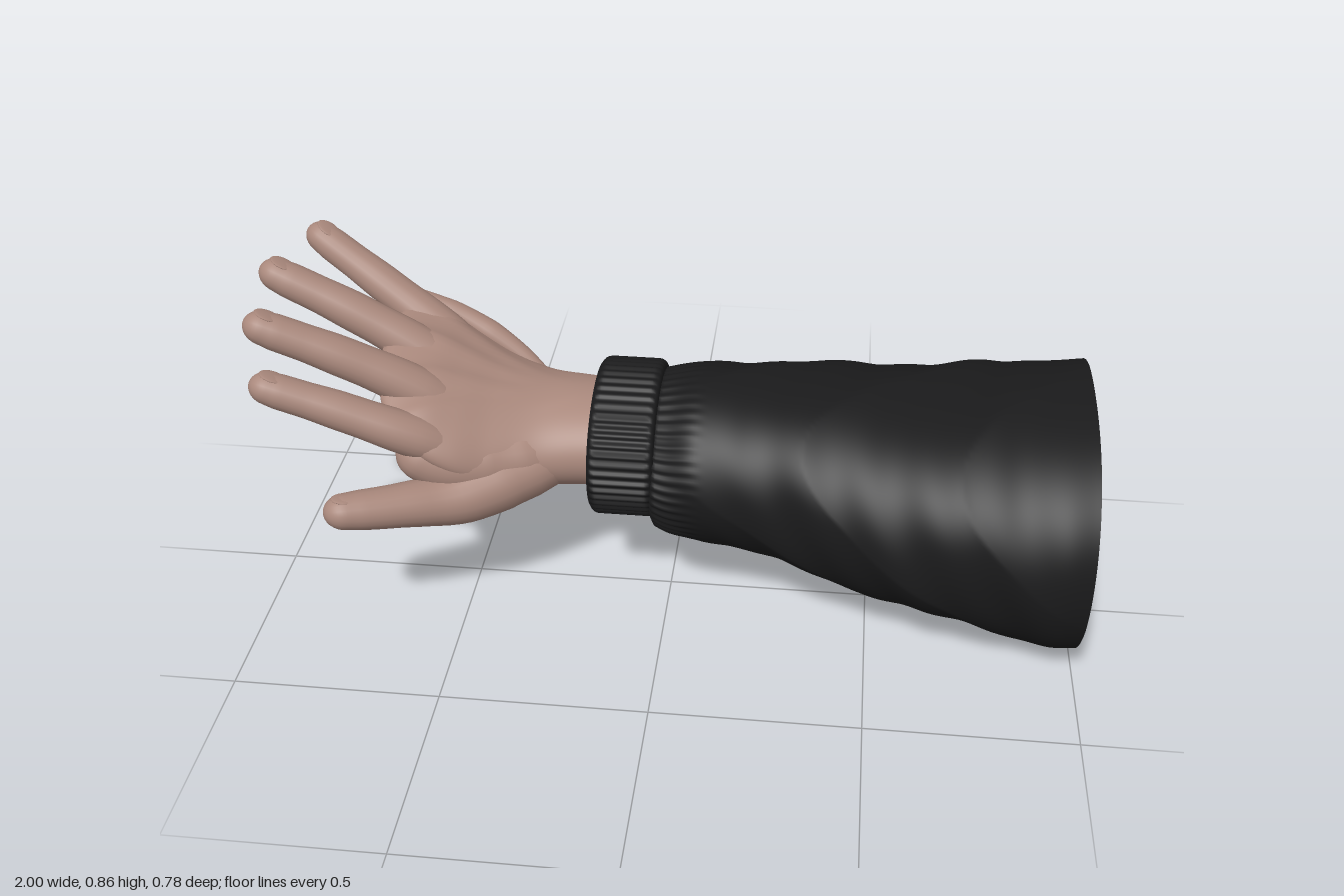
import * as THREE from 'three';

const mat = (name, color) => new THREE.MeshStandardMaterial({ name, color, side: THREE.DoubleSide });
const V = (x, y, z) => new THREE.Vector3(x, y, z);

// Skin a list of closed rings (equal point counts) with smooth normals
function loft(rings) {
  const n = rings[0].length, pos = [], idx = [];
  rings.forEach(r => r.forEach(p => pos.push(p.x, p.y, p.z)));
  for (let i = 0; i < rings.length - 1; i++) for (let j = 0; j < n; j++) {
    const a = i * n + j, b = i * n + (j + 1) % n, c = a + n, d = b + n;
    idx.push(a, b, c, b, d, c);
  }
  const g = new THREE.BufferGeometry();
  g.setAttribute('position', new THREE.Float32BufferAttribute(pos, 3));
  g.setIndex(idx);
  g.computeVertexNormals();
  return g;
}

// Smoothly sample rows of [x, top, bottom, back, front]
function sampler(rows) {
  const f = new THREE.CubicInterpolant(rows.map(r => r[0]), rows.flatMap(r => r.slice(1)), 4, new Float32Array(4));
  return x => Array.from(f.evaluate(x));
}

// Elliptical ring at x; k(angle) scales the radius
function ring(x, [top, bottom, back, front], n, k = () => 1) {
  return Array.from({ length: n }, (_, j) => {
    const a = j / n * Math.PI * 2, s = k(a);
    return V(x, (top + bottom) / 2 + (top - bottom) / 2 * Math.sin(a) * s,
      (front + back) / 2 + (front - back) / 2 * Math.cos(a) * s);
  });
}

// Rounded limb along a curve with varying radius and a domed tip
function limb(points, radii, squash = 1) {
  const curve = new THREE.CatmullRomCurve3(points.map(p => V(...p)));
  const len = curve.getLength(), rings = [], n = 40;
  for (let i = 0; i <= n; i++) {
    const t = 1 - (1 - i / n) ** 2, u = t * (radii.length - 1), k = Math.min(Math.floor(u), radii.length - 2);
    let r = THREE.MathUtils.lerp(radii[k], radii[k + 1], u - k);
    const dist = (1 - t) * len;
    if (dist < r) r *= Math.sqrt(Math.max(0, 1 - (1 - dist / r) ** 2));
    const c = curve.getPointAt(t), tan = curve.getTangentAt(t);
    const side = V(0, 1, 0).cross(tan).normalize(), up = tan.clone().cross(side);
    rings.push(Array.from({ length: 20 }, (_, j) => {
      const a = -j / 20 * Math.PI * 2;
      return c.clone().addScaledVector(side, r * Math.cos(a)).addScaledVector(up, r * squash * Math.sin(a));
    }));
  }
  return { geometry: loft(rings), curve, len };
}

export function createModel() {
  const group = new THREE.Group();
  const skin = mat('skin', 0xa9887c), cloth = mat('blackCloth', 0x1a1a1b), lining = mat('greyLining', 0x84888d);
  const add = (name, geometry, material, parent = group) => {
    const m = new THREE.Mesh(geometry, material);
    m.name = name;
    parent.add(m);
    return m;
  };

  // Sleeve: widening tube with spiral folds, a skewed open end and gathers next to the cuff
  const sleeveAt = sampler([
    [-.03, .572, .205, -.268, .175], [0, .58, .19, -.277, .185], [.07, .6, .182, -.277, .205], [.2, .597, .16, -.3, .215],
    [.4, .594, .112, -.335, .262], [.6, .592, .072, -.365, .32], [.8, .602, .038, -.378, .34], [.93, .612, .006, -.385, .36], [1, .617, .004, -.385, .352]]);
  const skew = [[.11, 2.3], [.055, -.95], [-.045, -2.4], [.025, .65]];
  const sleeveRing = x => {
    const calm = THREE.MathUtils.smoothstep(x, .02, .15) * (1 - .8 * THREE.MathUtils.smoothstep(x, .75, .98));
    const gather = 1 - THREE.MathUtils.smoothstep(x, 0, .1);
    return ring(x, sleeveAt(x), 240, a => {
      const d = 1 - Math.cos(a - .8), p = 17 * x - 6.5 * d;
      const folds = .034 * (.55 - Math.abs(Math.sin(p / 2 + .4 * Math.sin(2 * a)))) + .008 * Math.sin(41 * x - 5 * d + 2 * Math.sin(a));
      const lean = skew.reduce((s, [k, at]) => s + k * Math.max(0, Math.cos(a - at)) ** 6, 0);
      return 1 + calm * folds + gather * .014 * Math.cos(48 * a) + Math.max(0, x) * lean;
    });
  };
  const sleeveRings = Array.from({ length: 111 }, (_, i) => sleeveRing(-.03 + 1.03 * i / 110));
  sleeveRings.unshift(ring(-.06, [.53, .27, -.22, .13], 240));
  add('sleeve', loft(sleeveRings), cloth);

  // Ribbed cuff, rounded over at both ends
  const cuffRow = [.596, .234, -.27, .178];
  const cuffRings = [];
  for (let i = 0; i <= 24; i++) {
    const t = i / 24, edge = Math.min(t, 1 - t) / .12;
    const s = edge < 1 ? .94 + .06 * Math.sqrt(1 - (1 - edge) ** 2) : 1;
    cuffRings.push(ring(-.187 + .16 * t, cuffRow, 288, a => s * (1 + .018 * Math.cos(48 * a) * Math.min(1, edge)) - .008));
  }
  cuffRings.push(ring(-.03, cuffRow, 288, () => .75));
  add('cuff', loft(cuffRings), cloth);
  add('cuffLining', loft([[-.187, .934], [-.186, .8], [-.15, .74], [-.1, .6]].map(([x, s]) => ring(x, cuffRow, 64, () => s))), lining);

  // Sleeve end: flat face with a crumpled hollow near its upper back edge
  const end = new THREE.Shape(sleeveRing(.994).map(p => new THREE.Vector2(-p.z, p.y)));
  const outline = new THREE.CatmullRomCurve3([[.075, .575], [.14, .598], [.23, .592], [.3, .545], [.345, .46], [.355, .385],
    [.315, .365], [.27, .385], [.17, .41], [.09, .47]].map(([z, y]) => V(z, y, 0)), true);
  const rim = outline.getPoints(60).slice(0, 60);
  end.holes.push(new THREE.Path(rim.map(p => new THREE.Vector2(p.x, p.y))));
  const endGeo = new THREE.ShapeGeometry(end);
  endGeo.rotateY(Math.PI / 2).translate(.994, 0, 0);
  add('sleeveEnd', endGeo, lining);
  const hollow = [];
  for (let i = 0; i <= 8; i++) {
    const s = 1 - i / 8, depth = .05 * Math.sin(i / 8 * Math.PI / 2);
    hollow.push(rim.map((p, j) => V(.994 - depth - (i ? .006 * s * Math.sin(j * .63 + i * 1.3) : 0),
      .49 + (p.y - .49) * s, -(.23 + (p.x - .23) * s))));
  }
  add('endHollow', loft(hollow), lining);

  // Small skin and cloth patches showing inside the hollow
  for (const [name, material, x, y, z, w, h] of [['skinPatch', skin, .979, .498, -.128, .011, .022], ['clothPatch', cloth, .973, .44, -.265, .016, .016]]) {
    const patch = add(name, new THREE.CircleGeometry(1, 7).rotateY(Math.PI / 2), material);
    patch.scale.set(1, h, w);
    patch.position.set(x, y, z);
  }

  // Hand: palm with a sideways tilt, tendons and knuckles on its back
  const hand = new THREE.Group();
  hand.name = 'hand';
  group.add(hand);
  const palmAt = sampler([
    [-.70, .66, .625, -.1, .07], [-.68, .667, .595, -.17, .135], [-.64, .665, .545, -.212, .2], [-.57, .648, .485, -.23, .238],
    [-.5, .615, .42, -.232, .235], [-.42, .578, .35, -.228, .2], [-.32, .55, .32, -.215, .15], [-.22, .547, .31, -.212, .128], [-.06, .545, .31, -.21, .125]]);
  const palmRings = [];
  for (let i = 0; i <= 48; i++) {
    const x = -.06 - .64 * i / 48, fan = THREE.MathUtils.clamp((-.2 - x) / .4, 0, 1.1);
    const r = ring(x, palmAt(x), 80);
    r.forEach((p, j) => {
      const back = Math.max(0, Math.sin(j / 80 * Math.PI * 2));
      const lift = [.19, .08, -.05, -.17].reduce((s, z) => s + Math.exp(-(((p.z + .04 - (z + .04) * fan) / .026) ** 2)), 0);
      p.y += back * .012 * fan * Math.min(1, lift) - .22 * fan * (p.z + .01);
    });
    palmRings.push(r);
  }
  const tip = palmRings[48].reduce((s, p) => s.add(p), V(0, 0, 0)).divideScalar(80);
  palmRings.push(palmRings[48].map(() => tip.clone()));
  add('palm', loft(palmRings), skin, hand);

  // Web of flesh between the thumb and the index finger
  add('thumbWeb', limb([[-.27, .42, .04], [-.42, .425, .11], [-.53, .45, .175], [-.63, .505, .2]], [.07, .088, .085, .065, .05]).geometry, skin, hand);

  // Fingers and thumb, each with a nail lying on its tip
  const fingerRadii = [.03, .05, .058, .056, .052, .051, .047, .046, .037];
  const digits = [
    ['indexFinger', [[-.46, .46, .15], [-.62, .55, .203], [-.77, .618, .226], [-.95, .69, .25]], .95],
    ['middleFinger', [[-.46, .5, .06], [-.63, .614, .09], [-.79, .705, .121], [-.98, .797, .155]], 1],
    ['ringFinger', [[-.46, .52, -.045], [-.64, .64, -.05], [-.81, .738, -.05], [-1, .832, -.05]], 1],
    ['littleFinger', [[-.46, .525, -.13], [-.61, .632, -.168], [-.75, .722, -.207], [-.94, .838, -.262]], .95],
    ['thumb', [[-.27, .41, .04], [-.38, .392, .11], [-.5, .372, .2], [-.62, .393, .285], [-.77, .42, .372]], 1,
      [.07, .085, .088, .078, .063, .055, .05, .04]]];
  for (const [name, pts, size, radii = fingerRadii] of digits) {
    const { geometry, curve, len } = limb(pts, radii.map(r => r * size), .93);
    add(name, geometry, skin, hand);
    const t = 1 - .047 / len, tan = curve.getTangentAt(t);
    const side = V(0, 1, 0).cross(tan).normalize(), up = tan.clone().cross(side);
    const nail = add(name + 'Nail', new THREE.SphereGeometry(1, 20, 10), skin, hand);
    nail.scale.set(.024, .0045, .032);
    nail.quaternion.setFromRotationMatrix(new THREE.Matrix4().makeBasis(side, up, tan));
    nail.position.copy(curve.getPointAt(t)).addScaledVector(up, .0355 * size);
  }

  // Loose skin fold along the outer edge of the hand
  add('sideFold', limb([[-.3, .47, -.16], [-.42, .555, -.195], [-.55, .63, -.216], [-.68, .695, -.215]],
    [.01, .024, .032, .027, .015]).geometry, skin, hand);
  return group;
}
